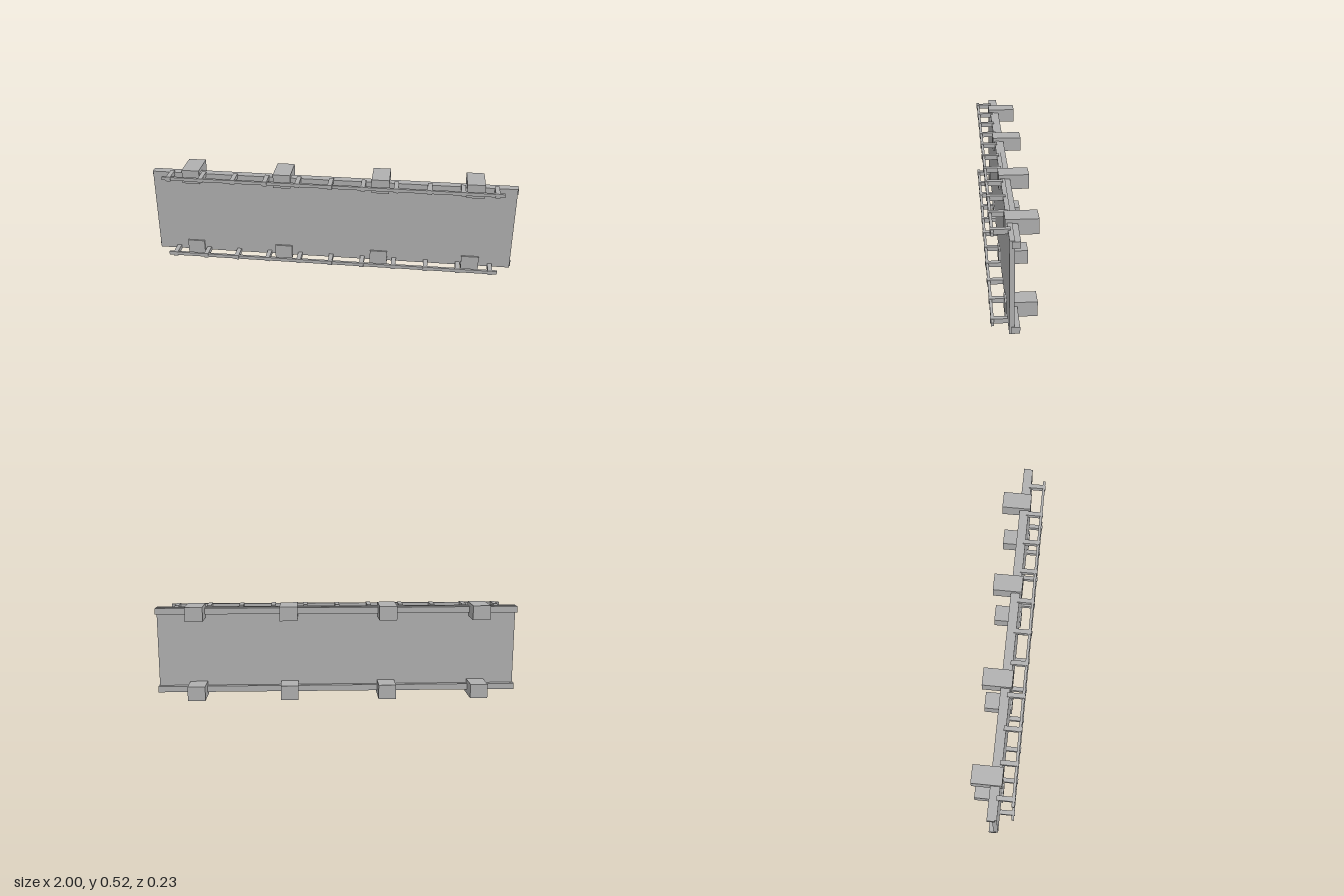
import * as THREE from 'three';

export function createModel() {
  const model = new THREE.Group();
  const grey = new THREE.MeshStandardMaterial({ color: 0xb0b0b0 });
  grey.name = 'grey metal';

  // Box given by its lower and upper bounds on each axis
  function box(name, [x0, x1], [y0, y1], [z0, z1]) {
    const mesh = new THREE.Mesh(new THREE.BoxGeometry(x1 - x0, y1 - y0, z1 - z0), grey);
    mesh.position.set((x0 + x1) / 2, (y0 + y1) / 2, (z0 + z1) / 2);
    mesh.name = name;
    model.add(mesh);
  }

  // Upright panel
  box('panel', [-0.995, 0.995], [0.02, 0.501], [0.01, 0.034]);

  // Lower and upper edges carry the same set of parts
  const edges = [
    { name: 'lower', rail: [0.024, 0.057], block: [0, 0.079], arm: [0.014, 0.039], rod: [0.017, 0.036] },
    { name: 'upper', rail: [0.464, 0.498], block: [0.441, 0.519], arm: [0.483, 0.508], rod: [0.487, 0.505] },
  ];
  for (const e of edges) {
    box(e.name + 'Rail', [-1, 1], e.rail, [-0.016, 0.024]);
    box(e.name + 'Rod', [-0.923, 0.923], e.rod, [0.099, 0.113]);

    // Mounting blocks through the panel
    for (const x of [-0.781, -0.272, 0.267, 0.776]) {
      box(e.name + 'Block', [x - 0.048, x + 0.048], e.block, [-0.114, 0.043]);
    }

    // Evenly spaced arms holding the rod
    for (let i = -5; i <= 5; i++) {
      const x = i * 0.177;
      box(e.name + 'Arm', [x - 0.012, x + 0.012], e.arm, [0.022, 0.116]);
    }
  }
  return model;
}
